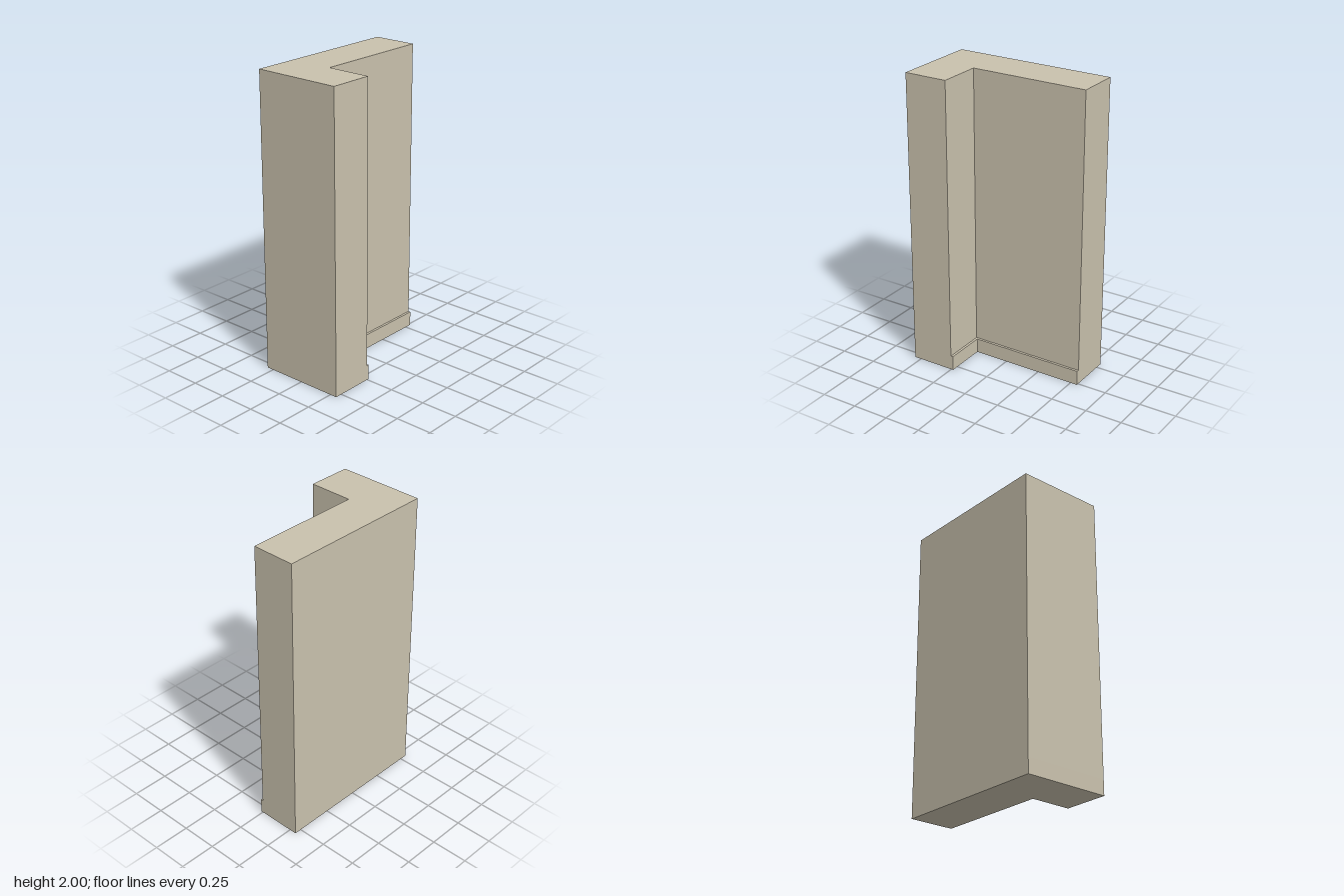
import * as THREE from 'three';

const X = 0.548, Z = 0.299;          // half width and half depth
const INNER_X = -0.251, INNER_Z = -0.002; // inside faces of the wall
const SKIRTING = 0.016, SKIRTING_TOP = 0.1, TOP = 2;

// L-shaped plan, extruded upwards; "grow" pushes out the two inside faces
function cornerSlab(name, grow, bottom, top, material) {
  const plan = [
    [-X, Z], [INNER_X + grow, Z], [INNER_X + grow, INNER_Z + grow],
    [X, INNER_Z + grow], [X, -Z], [-X, -Z],
  ].map(([x, z]) => new THREE.Vector2(x, -z));
  const geometry = new THREE.ExtrudeGeometry(new THREE.Shape(plan), {
    depth: top - bottom, bevelEnabled: false,
  });
  geometry.rotateX(-Math.PI / 2).translate(0, bottom, 0);
  const mesh = new THREE.Mesh(geometry, material);
  mesh.name = name;
  return mesh;
}

export function createModel() {
  const plaster = new THREE.MeshStandardMaterial({ color: 0xc9c1ad });
  plaster.name = 'beige plaster';

  const model = new THREE.Group();
  model.name = 'wallCorner';
  model.add(
    // wall foot with the skirting ledge along both inside faces
    cornerSlab('skirtingBase', SKIRTING, 0, SKIRTING_TOP, plaster),
    // plain wall above it
    cornerSlab('wall', 0, SKIRTING_TOP, TOP, plaster),
  );
  return model;
}
